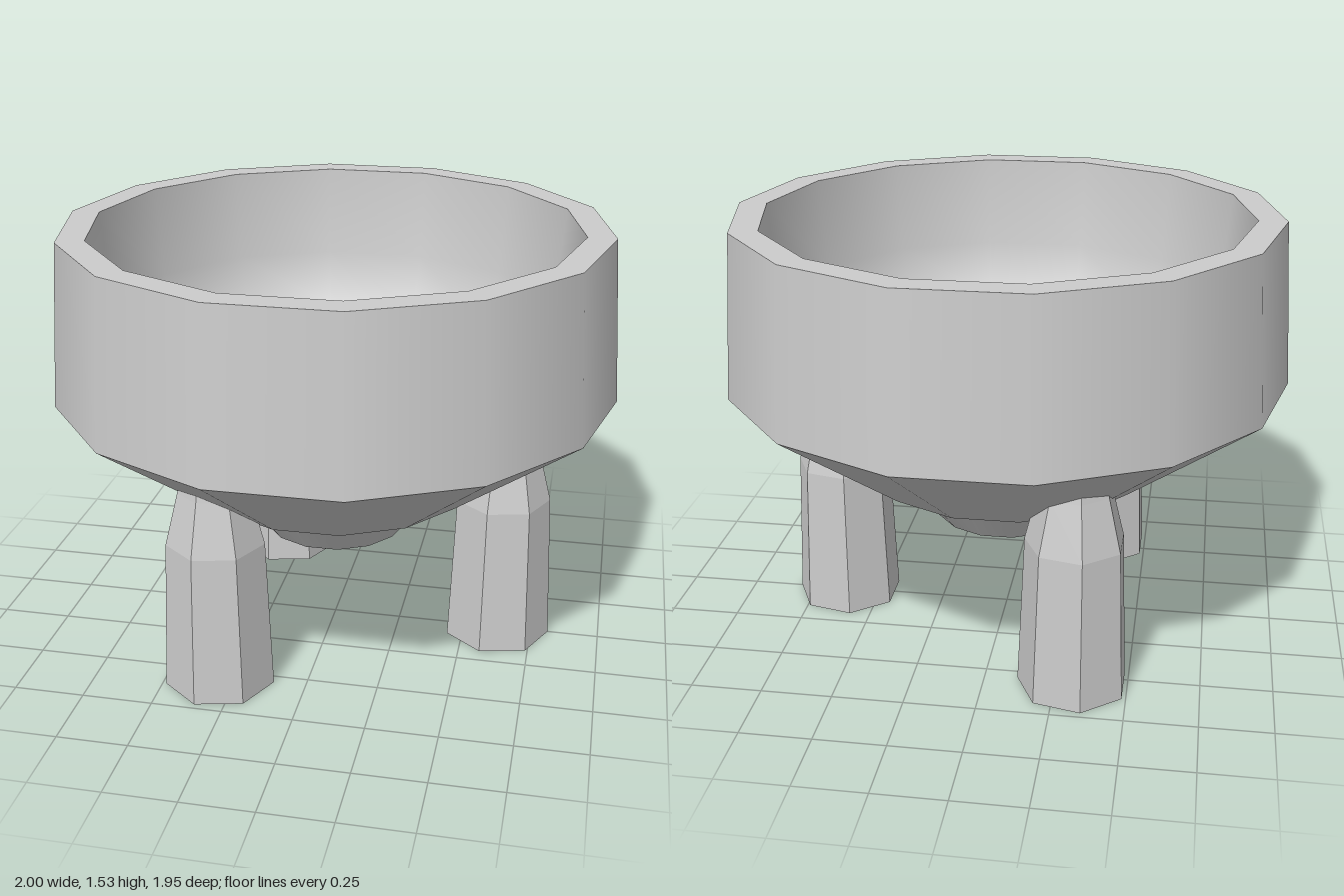
import * as THREE from 'three';

// Turned surface with a corner pointing along +x; smooth within one profile
function turned(name, profile, sides, material) {
  const points = profile.map(([r, y]) => new THREE.Vector2(r, y));
  const mesh = new THREE.Mesh(new THREE.LatheGeometry(points, sides, Math.PI / 2), material);
  mesh.name = name;
  return mesh;
}

export function createModel() {
  const model = new THREE.Group();
  model.name = 'threeLeggedBowl';
  const smooth = new THREE.MeshStandardMaterial({ color: 0xcccccc });
  const faceted = new THREE.MeshStandardMaterial({ color: 0xcccccc, flatShading: true });
  const SIDES = 14;

  // Bowl: separate profiles keep the edges between them sharp
  const bowl = new THREE.Group();
  bowl.name = 'bowl';
  const bands = {
    underside: [[0.41, 0.59], [0.52, 0.59]],
    lowerCone: [[0.52, 0.59], [1, 0.95]],
    outerWall: [[1, 0.95], [0.96, 1.53]],
    rim: [[0.96, 1.53], [0.86, 1.53]],
    innerWall: [[0.86, 1.53], [0.83, 1.2], [0.76, 1.0], [0.41, 0.69], [0, 0.69]],
  };
  for (const [name, profile] of Object.entries(bands)) {
    bowl.add(turned(name, profile, SIDES, smooth));
  }
  model.add(bowl);

  // Tapered boss under the bowl
  const boss = new THREE.Group();
  boss.name = 'boss';
  boss.add(
    turned('bossBottom', [[0, 0.4], [0.26, 0.4]], SIDES, smooth),
    turned('bossSide', [[0.26, 0.4], [0.41, 0.59]], SIDES, smooth),
  );
  model.add(boss);

  // Three legs with the same orientation, tips just piercing the inner wall
  const legProfile = [[0, 0], [0.195, 0], [0.173, 0.55], [0.125, 0.74], [0.11, 0.81], [0, 0.81]];
  for (let i = 0; i < 3; i++) {
    const angle = (i * Math.PI * 2) / 3;
    const leg = turned('leg' + (i + 1), legProfile, 7, faceted);
    leg.position.set(0.62 * Math.cos(angle), 0, 0.62 * Math.sin(angle));
    model.add(leg);
  }
  return model;
}
